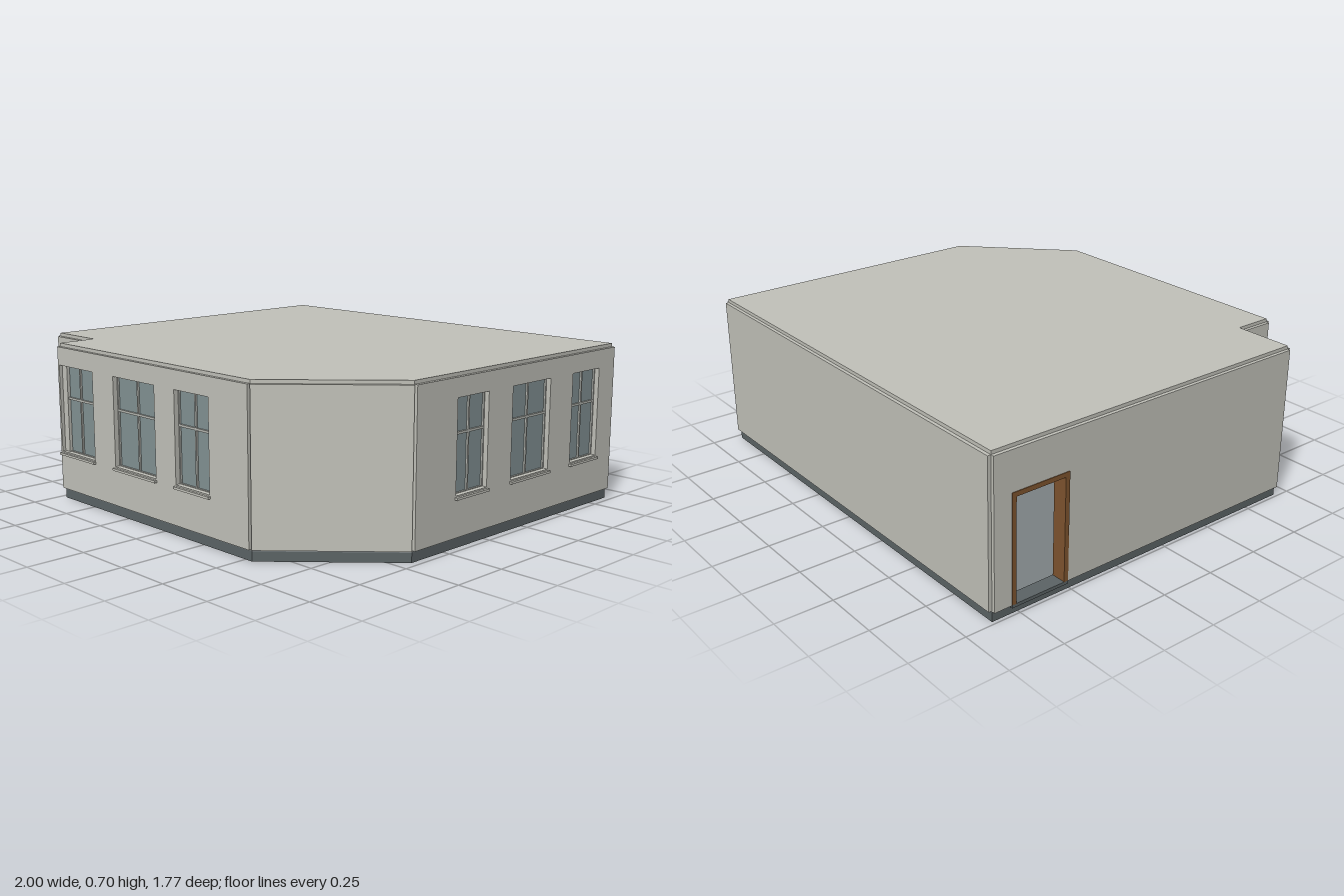
import * as THREE from 'three';

const mat = (color) => new THREE.MeshStandardMaterial({ color, flatShading: true });
const wallMat = mat(0xc2c2ba), plinthMat = mat(0x5c6466), floorMat = mat(0x7c8284);
const glassMat = mat(0x829294), frameMat = mat(0xb4b6b0), doorMat = mat(0x80552f);

const BASE = 0.045, TOP = 0.685, ROOF = 0.7, CORE = 0.045, PANEL = 0.015;

// Plan corners as [x, z], going round so that every wall runs left to right seen from outside
const plan = [[-0.72, 0.855], [0.537, 0.855], [0.97, 0.435], [0.97, -0.87], [-0.985, -0.87], [-0.985, 0.68], [-0.72, 0.68]];

// Openings per wall: [start, end] measured along the wall
const windows = {
  0: [[0.01, 0.26], [0.41, 0.69], [0.82, 1.03]],
  2: [[0.235, 0.425], [0.58, 0.835], [0.995, 1.19]],
};
const WIN_Y = [0.217, 0.605];
const doors = { 4: [[0.08, 0.35]] };
const DOOR_Y = [BASE + 0.002, 0.515];

function addMesh(parent, geometry, material, name) {
  const m = new THREE.Mesh(geometry, material);
  m.name = name;
  parent.add(m);
  return m;
}

// Box given by its limits on each axis
function block(parent, name, material, x, y, z) {
  const m = addMesh(parent, new THREE.BoxGeometry(x[1] - x[0], y[1] - y[0], z[1] - z[0]), material, name);
  m.position.set((x[0] + x[1]) / 2, (y[0] + y[1]) / 2, (z[0] + z[1]) / 2);
  return m;
}

function rectPath(Type, x0, x1, y0, y1) {
  const p = new Type();
  p.moveTo(x0, y0);
  p.lineTo(x1, y0);
  p.lineTo(x1, y1);
  p.lineTo(x0, y1);
  p.closePath();
  return p;
}

// Horizontal slab following the plan
function slab(parent, name, material, y0, y1) {
  const shape = new THREE.Shape(plan.map(([x, z]) => new THREE.Vector2(x, -z)));
  const g = new THREE.ExtrudeGeometry(shape, { depth: y1 - y0, bevelEnabled: false });
  g.rotateX(-Math.PI / 2);
  g.translate(0, y0, 0);
  return addMesh(parent, g, material, name);
}

// Upright layer of wall with its openings cut out
function wallLayer(parent, name, length, y0, y1, z0, z1, holes) {
  const shape = rectPath(THREE.Shape, 0, length, y0, y1);
  for (const h of holes) shape.holes.push(rectPath(THREE.Path, ...h));
  const g = new THREE.ExtrudeGeometry(shape, { depth: z1 - z0, bevelEnabled: false });
  g.translate(0, 0, z0);
  addMesh(parent, g, wallMat, name);
}

function addWindow(wall, [a, b]) {
  const group = new THREE.Group();
  group.name = 'window';
  wall.add(group);
  const [y0, y1] = WIN_Y, mid = (a + b) / 2, t = 0.005;
  const z = [-0.03, -0.006];
  block(group, 'glass', glassMat, [a, b], [y0, y1], [-0.022, -0.014]);
  // Outer frame
  block(group, 'frameSide', frameMat, [a, a + t], [y0, y1], z);
  block(group, 'frameSide', frameMat, [b - t, b], [y0, y1], z);
  block(group, 'frameRail', frameMat, [a, b], [y0, y0 + t], z);
  block(group, 'frameRail', frameMat, [a, b], [y1 - t, y1], z);
  // Mullion and transom
  block(group, 'mullion', frameMat, [mid - 0.004, mid + 0.004], [y0, y1], z);
  block(group, 'transom', frameMat, [a, b], [0.454, 0.464], z);
  // Projecting sill
  block(group, 'sill', wallMat, [a - 0.005, b + 0.005], [0.203, 0.213], [PANEL - 0.005, 0.027]);
  block(group, 'sillTop', wallMat, [a, b], [0.213, 0.219], [-CORE, PANEL + 0.001]);
}

function addDoorway(wall, [a, b]) {
  const group = new THREE.Group();
  group.name = 'doorFrame';
  wall.add(group);
  const [y0, y1] = DOOR_Y, t = 0.02, z = [-CORE - 0.003, PANEL + 0.003];
  block(group, 'jamb', doorMat, [a, a + t], [y0, y1], z);
  block(group, 'jamb', doorMat, [b - t, b], [y0, y1], z);
  block(group, 'lintel', doorMat, [a + t, b - t], [y1 - t, y1], z);
  block(group, 'threshold', plinthMat, [a, b], [0.035, y0 + 0.002], z);
}

export function createModel() {
  const model = new THREE.Group();
  model.name = 'building';

  // Plinth, floor and roof
  slab(model, 'plinth', plinthMat, 0, BASE - 0.005);
  slab(model, 'floor', floorMat, BASE - 0.005, BASE);
  slab(model, 'roof', wallMat, 0.665, ROOF);

  // Walls: an inner core with a cladding panel that leaves the corners notched
  plan.forEach(([x0, z0], i) => {
    const [x1, z1] = plan[(i + 1) % plan.length];
    const dx = x1 - x0, dz = z1 - z0, length = Math.hypot(dx, dz);
    const wall = new THREE.Group();
    wall.name = 'wall';
    wall.position.set(x0, 0, z0);
    wall.rotation.y = Math.atan2(-dz, dx);
    model.add(wall);

    const wins = windows[i] || [], drs = doors[i] || [];
    const holes = [...wins.map((w) => [...w, ...WIN_Y]), ...drs.map((d) => [...d, ...DOOR_Y])];
    wallLayer(wall, 'wallCore', length, BASE, 0.665, -CORE, 0, holes);
    // Cladding sits slightly higher at the foot, except where a door needs it cut through
    const foot = drs.length ? BASE : BASE + 0.003;
    wallLayer(wall, 'wallPanel', length, foot, TOP, 0, PANEL, holes);
    wins.forEach((w) => addWindow(wall, w));
    drs.forEach((d) => addDoorway(wall, d));
  });

  return model;
}
